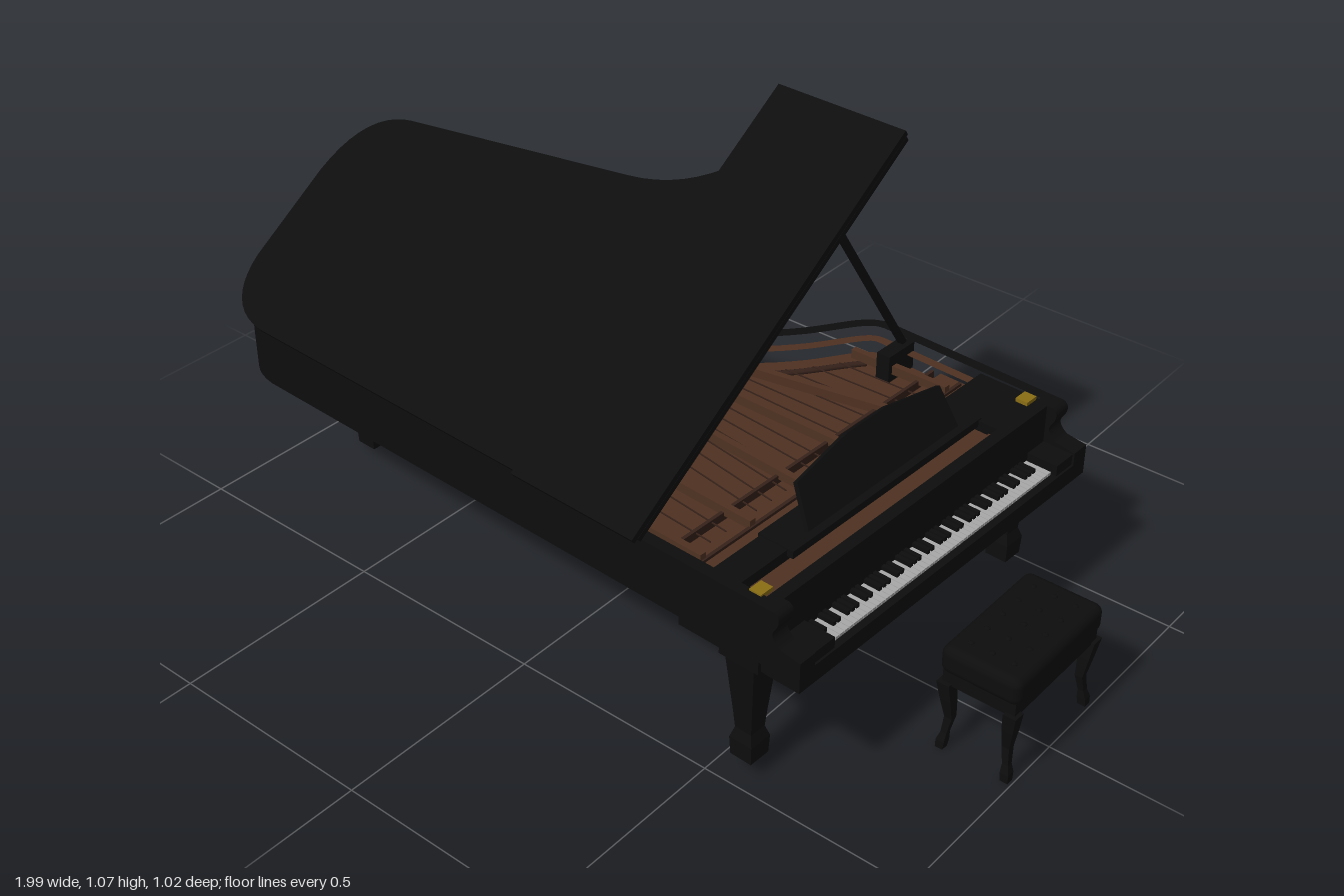
import * as THREE from 'three';
import { RoundedBoxGeometry } from 'three/addons/geometries/RoundedBoxGeometry.js';

const mat = (name, color) => Object.assign(new THREE.MeshStandardMaterial({ color }), { name });
const black = mat('black lacquer', 0x0d0d0d);
const brown = mat('brown wood', 0x4e3121);
const darkBrown = mat('dark brown', 0x35211a);
const gold = mat('brass', 0x8a6e14);
const ivory = mat('ivory', 0xa8a8a8);
const silver = mat('silver', 0xc8c8c8);

function add(parent, name, geo, material, x = 0, y = 0, z = 0) {
  const m = new THREE.Mesh(geo, material);
  m.name = name;
  m.position.set(x, y, z);
  parent.add(m);
  return m;
}

// Box given by its minimum and maximum corners
function box(parent, name, material, x0, x1, y0, y1, z0, z1) {
  return add(parent, name, new THREE.BoxGeometry(x1 - x0, y1 - y0, z1 - z0), material,
    (x0 + x1) / 2, (y0 + y1) / 2, (z0 + z1) / 2);
}

// Straight bar between two points
function bar(parent, name, material, a, b, w, h = w) {
  const p = new THREE.Vector3(...a), q = new THREE.Vector3(...b);
  const m = new THREE.Mesh(new THREE.BoxGeometry(w, h, p.distanceTo(q)), material);
  m.name = name;
  m.position.copy(p).add(q).multiplyScalar(0.5);
  m.lookAt(q);
  parent.add(m);
}

// Square leg from [halfWidth, y] pairs, bottom to top
function squareLeg(profile) {
  const pts = profile.map(([w, y]) => new THREE.Vector2(w * Math.SQRT2, y));
  const g = new THREE.LatheGeometry(pts, 4).rotateY(Math.PI / 4).toNonIndexed();
  g.computeVertexNormals();
  return g;
}

// Wing-shaped plan outline (shape y = -z), cut off at xEnd
function outline(xEnd) {
  const s = new THREE.Shape();
  s.moveTo(xEnd, -0.46);
  s.lineTo(-0.83, -0.46);
  s.quadraticCurveTo(-0.955, -0.45, -0.967, -0.32);
  s.lineTo(-0.967, -0.07);
  s.bezierCurveTo(-0.96, 0.05, -0.91, 0.108, -0.826, 0.119);
  s.lineTo(-0.208, 0.202);
  s.bezierCurveTo(-0.07, 0.22, 0.0, 0.285, 0.066, 0.373);
  s.bezierCurveTo(0.12, 0.45, 0.14, 0.515, 0.2, 0.518);
  s.lineTo(xEnd, 0.514);
  return s.getPoints(10);
}

// Move every outline point inwards by d
function inset(pts, d) {
  const n = pts.length;
  return pts.map((p, i) => {
    const a = p.clone().sub(pts[(i + n - 1) % n]).normalize();
    const b = pts[(i + 1) % n].clone().sub(p).normalize();
    const na = new THREE.Vector2(a.y, -a.x), nb = new THREE.Vector2(b.y, -b.x);
    return na.clone().add(nb).multiplyScalar(d / (1 + na.dot(nb))).add(p);
  });
}

function slab(parent, name, material, pts, y0, y1, hole) {
  const s = new THREE.Shape(pts);
  if (hole) s.holes.push(new THREE.Path(hole));
  const g = new THREE.ExtrudeGeometry(s, { depth: y1 - y0, bevelEnabled: false }).rotateX(-Math.PI / 2);
  return add(parent, name, g, material, 0, y0, 0);
}

function buildCase(p) {
  const rim = outline(0.655), inner = inset(rim, 0.028);
  slab(p, 'rim', black, rim, 0.33, 0.47, inner);
  slab(p, 'floor', black, inner, 0.335, 0.385);
  slab(p, 'soundboard', brown, inner, 0.385, 0.4);
  slab(p, 'innerRim', brown, inner, 0.4, 0.445, inset(rim, 0.052));
  box(p, 'keybed', black, 0.42, 0.7, 0.3, 0.335, -0.505, 0.45);
  box(p, 'keySlip', black, 0.715, 0.735, 0.31, 0.352, -0.514, 0.46);
  box(p, 'keyFrame', black, 0.65, 0.72, 0.31, 0.335, -0.514, 0.46);

  // Scrolled arms and low cheek blocks beside the keys
  const arm = new THREE.Shape();
  arm.moveTo(0.65, 0.31);
  arm.lineTo(0.735, 0.31);
  arm.lineTo(0.735, 0.383);
  arm.lineTo(0.685, 0.39);
  arm.quadraticCurveTo(0.655, 0.41, 0.672, 0.43);
  arm.quadraticCurveTo(0.69, 0.46, 0.668, 0.47);
  arm.lineTo(0.65, 0.47);
  const armGeo = new THREE.ExtrudeGeometry(arm, { depth: 0.045, bevelEnabled: false });
  for (const z of [-0.514, 0.415]) add(p, 'arm', armGeo, black, 0, 0, z);
  box(p, 'cheekBlock', black, 0.65, 0.73, 0.33, 0.378, -0.47, -0.41);
  box(p, 'cheekBlock', black, 0.65, 0.73, 0.33, 0.378, 0.349, 0.416);

  // Beams under the case
  for (const [x, z] of [[0.1, -0.3], [-0.3, -0.1], [-0.6, -0.05]])
    bar(p, 'underBeam', black, [0.42, 0.345, z * 0.4], [x, 0.345, z + 0.3], 0.04, 0.03);

  const leg = squareLeg([[0, 0.04], [0.027, 0.04], [0.029, 0.085], [0.021, 0.11], [0.024, 0.15], [0.037, 0.3], [0.037, 0.335], [0, 0.335]]);
  for (const [x, z] of [[0.582, 0.418], [0.582, -0.468], [-0.815, 0.19]]) {
    add(p, 'leg', leg, black, x, 0, z);
    box(p, 'legBlock', black, x - 0.05, x + 0.05, 0.295, 0.335, z - 0.04, z + 0.04);
  }
}

function buildInterior(p) {
  // Cast frame: cross plates and fanned struts
  box(p, 'pinBlock', brown, 0.37, 0.625, 0.4, 0.425, -0.48, 0.43);
  for (const x of [0.355, 0.43]) box(p, 'crossBar', darkBrown, x - 0.004, x + 0.004, 0.4, 0.432, -0.47, 0.42);
  const struts = [[-0.42, 0.17, -0.42], [-0.28, -0.03, -0.19], [-0.1, -0.5, -0.09], [0.07, -0.84, 0], [0.24, -0.9, 0.2], [0.39, -0.85, 0.37]];
  for (const [z, x2, z2] of struts) bar(p, 'strut', brown, [0.43, 0.435, z], [x2, 0.425, z2], 0.016, 0.022);

  // Bridge and strings
  const bridge = new THREE.CatmullRomCurve3([[0.2, -0.43], [0.03, -0.22], [-0.4, -0.08], [-0.78, 0.02], [-0.86, 0.33]]
    .map(([x, z]) => new THREE.Vector3(x, 0.403, z)));
  add(p, 'bridge', new THREE.TubeGeometry(bridge, 40, 0.008, 6), darkBrown);
  for (let i = 0; i < 18; i++) {
    const t = i / 17, e = bridge.getPoint(t);
    bar(p, 'string', darkBrown, [0.4, 0.427, -0.42 + 0.8 * t], [e.x, 0.413, e.z], 0.0025);
  }

  // Brass fittings
  for (const z of [-0.07, -0.03, 0.01]) box(p, 'brassPlate', gold, 0.4, 0.425, 0.425, 0.434, z, z + 0.025);
  for (const z of [-0.03, 0.01, 0.05]) box(p, 'tailFitting', gold, -0.87, -0.84, 0.4, 0.44, z, z + 0.02);
  for (const z of [-0.48, 0.405]) box(p, 'hinge', gold, 0.59, 0.62, 0.465, 0.474, z, z + 0.035);
  for (const x of [-0.6, -0.1]) box(p, 'lidHinge', gold, x, x + 0.04, 0.468, 0.474, 0.43, 0.455);

  // Music desk with its shelf and side ledges
  box(p, 'ledge', black, 0.47, 0.63, 0.44, 0.465, -0.487, -0.33);
  box(p, 'ledge', black, 0.49, 0.56, 0.44, 0.465, 0.28, 0.434);
  box(p, 'deskShelf', black, 0.485, 0.575, 0.45, 0.468, -0.34, 0.29);
  const d = new THREE.Shape([[-0.25, 0], [0.25, 0], [0.235, 0.1], [0.065, 0.128], [-0.065, 0.128], [-0.235, 0.1]]
    .map(([x, y]) => new THREE.Vector2(x, y)));
  const desk = add(p, 'musicDesk', new THREE.ExtrudeGeometry(d, { depth: 0.012, bevelEnabled: false }), black, 0.55, 0.468, -0.025);
  desk.rotation.set(0, Math.PI / 2, 0);
  desk.rotateX(-0.46);
  for (const z of [-0.15, 0.1]) bar(p, 'deskSupport', black, [0.49, 0.465, z], [0.53, 0.53, z], 0.008);
}

function buildKeys(p) {
  const w = 0.755 / 52;
  const white = new THREE.BoxGeometry(0.064, 0.023, w * 0.9), sharp = new THREE.BoxGeometry(0.04, 0.012, w * 0.6);
  for (let i = 0; i < 52; i++) {
    const z = 0.347 - (i + 0.5) * w;
    add(p, 'whiteKey', white, ivory, 0.686, 0.3475, z);
    if ([0, 2, 3, 5, 6].includes(i % 7) && i < 51) add(p, 'blackKey', sharp, black, 0.674, 0.363, z - w / 2);
  }
}

function buildLid(p) {
  const lid = new THREE.Group();
  lid.name = 'lid';
  lid.position.set(0, 0.475, 0.466);
  lid.rotation.x = THREE.MathUtils.degToRad(35);
  p.add(lid);
  const main = slab(lid, 'mainLid', black, inset(outline(0.327), -0.01), 0, 0.013);
  main.position.z = -0.466;
  box(lid, 'foldedFrontLid', black, 0, 0.337, 0.014, 0.028, -0.995, 0.015);
  // Prop stick
  bar(p, 'lidProp', black, [0.265, 0.465, -0.475], [0.3, 0.91, -0.155], 0.014);
  box(p, 'propBase', black, 0.25, 0.285, 0.4, 0.468, -0.492, -0.4);
}

function buildPedals(p) {
  const z0 = -0.025;
  box(p, 'pedalBox', black, 0.422, 0.475, 0, 0.033, z0 - 0.077, z0 + 0.077);
  box(p, 'lyreTop', black, 0.425, 0.475, 0.28, 0.305, z0 - 0.075, z0 + 0.075);
  box(p, 'pedalPlate', silver, 0.424, 0.465, 0.033, 0.042, z0 - 0.07, z0 + 0.07);
  for (const s of [-1, 1]) {
    add(p, 'lyrePost', new THREE.CylinderGeometry(0.012, 0.012, 0.25, 12), black, 0.447, 0.16, z0 + s * 0.048);
    bar(p, 'lyreBrace', silver, [0.25, 0.335, z0 + s * 0.072], [0.425, 0.03, z0 + s * 0.072], 0.007);
  }
  for (const s of [-1, 0, 1]) {
    bar(p, 'pedalRod', silver, [0.405, 0.335, z0 + s * 0.072], [0.405, 0.02, z0 + s * 0.072], 0.005);
    box(p, 'pedal', silver, 0.47, 0.49, 0.013, 0.02, z0 + s * 0.04 - 0.005, z0 + s * 0.04 + 0.005);
  }
}

function buildBench(root) {
  const bench = new THREE.Group();
  bench.name = 'bench';
  bench.position.set(0.906, 0, -0.011);
  root.add(bench);
  box(bench, 'benchFrame', black, -0.085, 0.085, 0.17, 0.205, -0.155, 0.155);
  add(bench, 'cushion', new RoundedBoxGeometry(0.186, 0.066, 0.328, 3, 0.02), black, 0, 0.232, 0);
  const button = new THREE.SphereGeometry(0.007, 8, 6).scale(1, 0.4, 1);
  for (let i = -1; i <= 1; i++) for (let j = -2; j <= 2; j++) add(bench, 'button', button, black, i * 0.05, 0.265, j * 0.058);
  for (const s of [-1, 1]) {
    const knob = add(bench, 'knob', new THREE.CylinderGeometry(0.015, 0.015, 0.014, 14), black, 0, 0.2, -0.163);
    knob.rotation.x = Math.PI / 2;
    // Curved legs: bowed outwards at the knee
    for (const t of [-1, 1]) {
      const g = squareLeg([[0, 0], [0.009, 0], [0.01, 0.02], [0.007, 0.04], [0.009, 0.08], [0.013, 0.13], [0.015, 0.175], [0, 0.175]]);
      const pos = g.attributes.position;
      for (let i = 0; i < pos.count; i++) {
        const bow = 0.005 * Math.sin(pos.getY(i) * 36 + 1.6);
        pos.setX(i, pos.getX(i) + s * bow);
        pos.setZ(i, pos.getZ(i) + t * bow);
      }
      g.computeVertexNormals();
      add(bench, 'benchLeg', g, black, s * 0.073, 0, t * 0.145);
    }
  }
}

export function createModel() {
  const root = new THREE.Group();
  root.name = 'grandPianoWithBench';
  const piano = new THREE.Group();
  piano.name = 'piano';
  piano.rotation.y = -0.038;
  root.add(piano);
  for (const build of [buildCase, buildInterior, buildKeys, buildLid, buildPedals]) build(piano);
  buildBench(root);
  return root;
}
